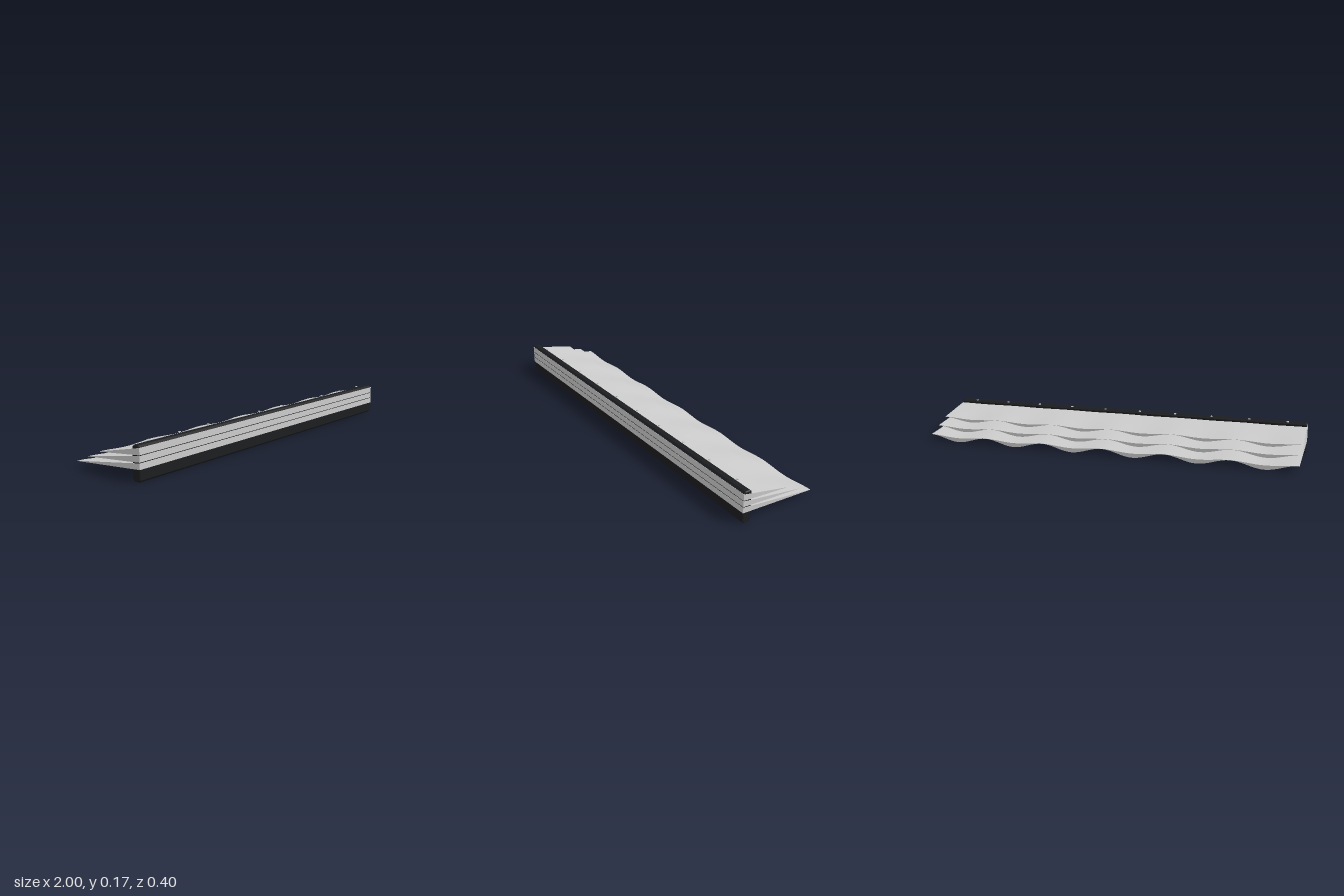
import * as THREE from 'three';

const grey = new THREE.MeshStandardMaterial({ color: 0xcccccc, side: THREE.DoubleSide });
const black = new THREE.MeshStandardMaterial({ color: 0x1c1d20 });
const FRONT = 0.203;

// Quad strip running along x between two lines, each given as x -> [y, z]
function strip(lineA, lineB, cols, rows) {
  const g = new THREE.PlaneGeometry(2, 1, cols, rows);
  const p = g.attributes.position;
  for (let i = 0; i < p.count; i++) {
    const x = p.getX(i), t = 0.5 - p.getY(i);
    const a = lineA(x), b = lineB(x);
    p.setXYZ(i, x, a[0] + (b[0] - a[0]) * t, a[1] + (b[1] - a[1]) * t);
  }
  g.computeVertexNormals();
  return g;
}

// Wedge-shaped flap: thick at the rail, thinning to a rippled rear edge
function makeFlap(name, top, bottom, rear, edgeTop, drop) {
  const group = new THREE.Group();
  group.name = name;
  const ripple = x => Math.sin(3 * Math.PI * (x + 1)) ** 2;
  const frontTop = () => [top, FRONT];
  const frontBottom = () => [bottom, FRONT];
  const rearTop = x => [edgeTop - 0.35 * drop * ripple(x), rear];
  const rearBottom = x => [edgeTop - 0.001 - drop * ripple(x), rear];
  const faces = {
    upperFace: strip(rearTop, frontTop, 96, 4),
    frontFace: strip(frontTop, frontBottom, 1, 1),
    underside: strip(frontBottom, rearBottom, 96, 4),
    rearEdge: strip(rearBottom, rearTop, 96, 1),
  };
  for (const [part, geometry] of Object.entries(faces)) {
    const m = new THREE.Mesh(geometry, grey);
    m.name = part;
    group.add(m);
  }
  // Triangular ends, with z mapped to the shape's -x
  const end = new THREE.Shape([
    new THREE.Vector2(-FRONT, bottom),
    new THREE.Vector2(-rear, edgeTop - 0.001),
    new THREE.Vector2(-rear, edgeTop),
    new THREE.Vector2(-FRONT, top),
  ]);
  for (const side of [-1, 1]) {
    const g = new THREE.ShapeGeometry(end);
    if (side < 0) g.scale(-1, 1, 1);
    const m = new THREE.Mesh(g, grey);
    m.rotation.y = side * Math.PI / 2;
    m.position.x = side;
    m.name = 'flapEnd';
    group.add(m);
  }
  return group;
}

export function createModel() {
  const model = new THREE.Group();
  model.name = 'layeredFlapStrip';

  // Mounting rail with chamfered long edges
  const z0 = 0.157, z1 = 0.2025, h = 0.163, c = 0.01;
  const profile = new THREE.Shape([
    [-z1 + c, 0], [-z0 - c, 0], [-z0, c], [-z0, h - c],
    [-z0 - c, h], [-z1 + c, h], [-z1, h - c], [-z1, c],
  ].map(([x, y]) => new THREE.Vector2(x, y)));
  const railGeo = new THREE.ExtrudeGeometry(profile, {
    depth: 1.99, bevelEnabled: true, bevelSegments: 1,
    bevelSize: 0.004, bevelThickness: 0.004, bevelOffset: -0.004,
  });
  railGeo.translate(0, 0, -0.995).rotateY(Math.PI / 2);
  const rail = new THREE.Mesh(railGeo, black);
  rail.name = 'rail';
  model.add(rail);

  // Three overlapping flaps, the lowest reaching furthest back
  model.add(
    makeFlap('upperFlap', 0.154, 0.122, -0.048, 0.101, 0.022),
    makeFlap('middleFlap', 0.119, 0.09, -0.124, 0.067, 0.026),
    makeFlap('lowerFlap', 0.087, 0.058, -0.2, 0.034, 0.032),
  );

  // Row of small fasteners along the top rear edge
  const studGeo = new THREE.CylinderGeometry(0.0065, 0.0065, 0.004, 12);
  for (let i = 0; i < 10; i++) {
    const stud = new THREE.Mesh(studGeo, grey);
    stud.name = 'fastener';
    stud.position.set(-0.9 + 0.2 * i, 0.1655, 0.1565);
    model.add(stud);
  }
  return model;
}
